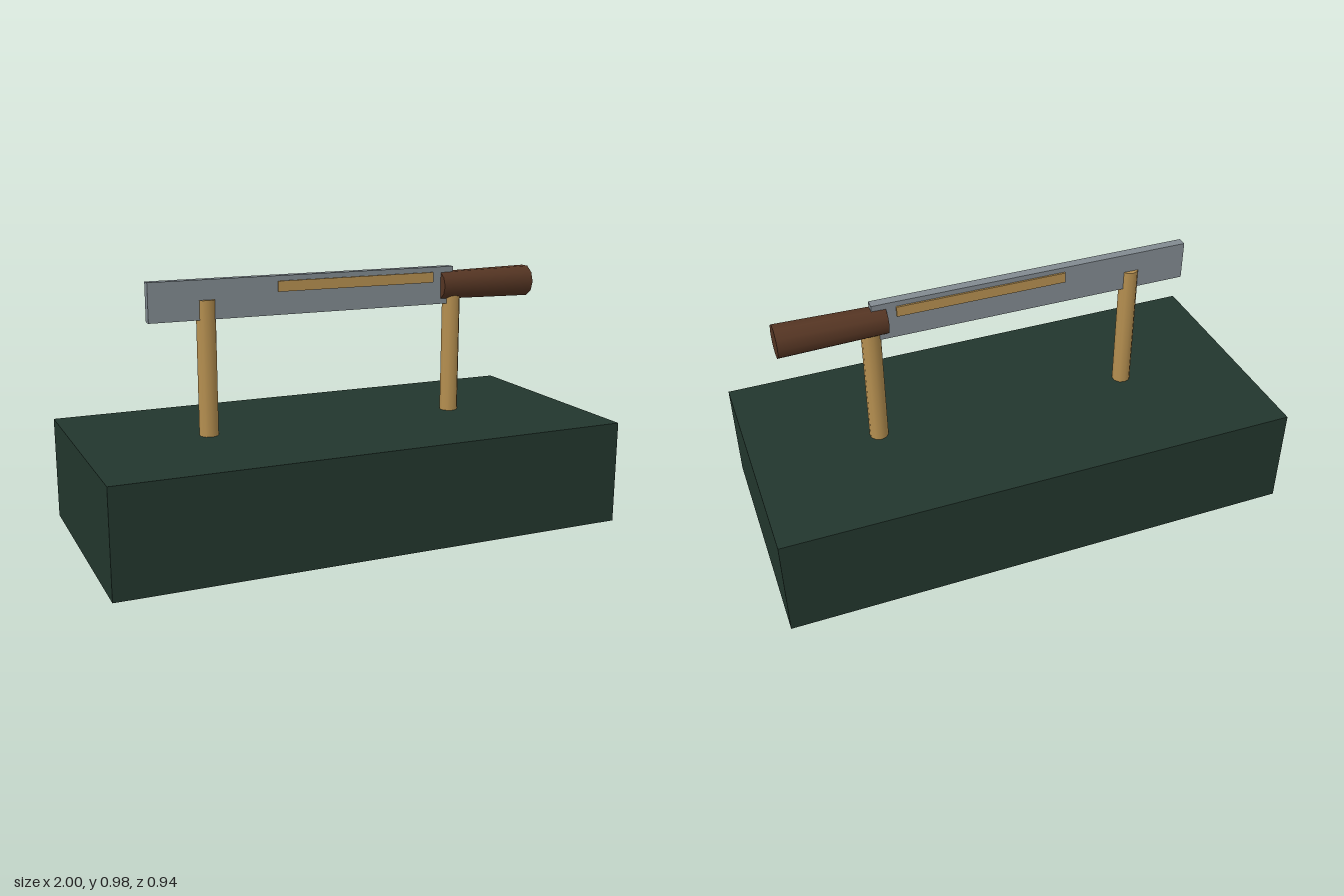
import * as THREE from 'three';

export function createModel() {
  const group = new THREE.Group();
  const material = (name, color) => {
    const m = new THREE.MeshStandardMaterial({ color });
    m.name = name;
    return m;
  };
  const green = material('dark green', 0x22362d);
  const brass = material('brass', 0xb58f50);
  const steel = material('steel', 0x818a90);
  const wood = material('dark wood', 0x553523);

  const add = (name, geometry, mat, x, y, z = 0) => {
    const mesh = new THREE.Mesh(geometry, mat);
    mesh.name = name;
    mesh.position.set(x, y, z);
    group.add(mesh);
    return mesh;
  };

  // Display base
  add('base', new THREE.BoxGeometry(2, 0.4, 0.945), green, 0, 0.2);

  // Two upright posts, running up into the blade and handle
  for (const [name, x] of [['rightPost', -0.51], ['leftPost', 0.51]]) {
    add(name, new THREE.CylinderGeometry(0.036, 0.036, 0.51, 10), brass, x, 0.655);
  }

  // Flat blade with a brass inlay bar showing on both faces
  add('blade', new THREE.BoxGeometry(1.235, 0.147, 0.036), steel, -0.112, 0.911);
  add('inlay', new THREE.BoxGeometry(0.65, 0.04, 0.05), brass, 0.09, 0.945);

  // Grip, slightly wider toward its outer end
  const handle = add('handle', new THREE.CylinderGeometry(0.055, 0.063, 0.4, 10), wood, 0.652, 0.91);
  handle.rotation.z = Math.PI / 2;

  return group;
}
